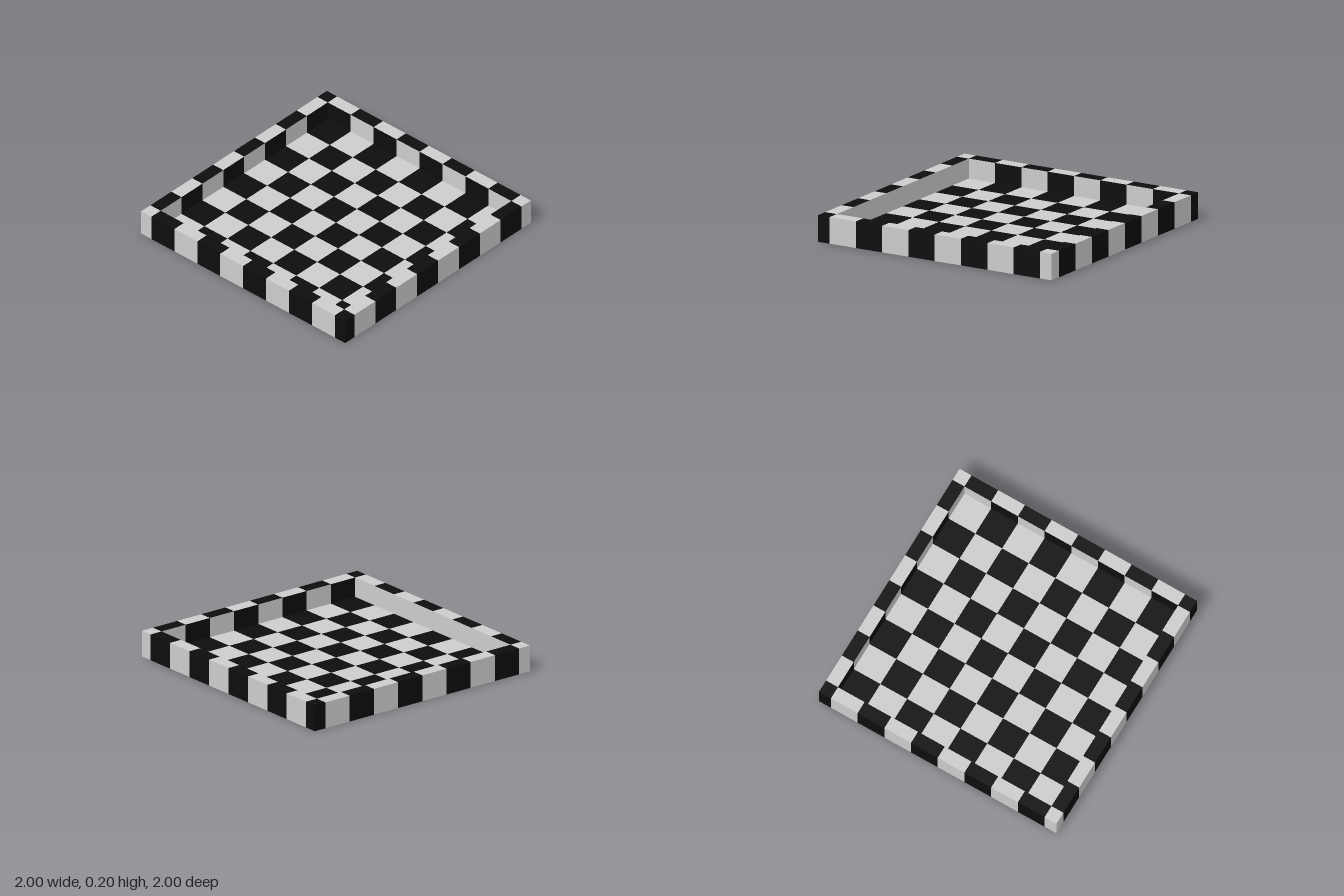
import * as THREE from 'three';

const HEIGHT = 0.2, FLOOR = 0.05, INNER = 0.9;

// Checker lines: narrow border cells, eight equal cells between them
const lines = [-1];
for (let k = 0; k <= 8; k++) lines.push(-INNER + k * 0.225);
lines.push(1);

const pale = new THREE.MeshStandardMaterial({ color: 0xcccccc });
pale.name = 'pale grey';
const dark = new THREE.MeshStandardMaterial({ color: 0x0d0d0d });
dark.name = 'black';

// Builds one checkered surface from cells { u0, u1, v0, v1, black }.
// place(u, v) gives the point; flip turns the face over.
function surface(name, cells, place, flip) {
  const sorted = [...cells.filter(c => !c.black), ...cells.filter(c => c.black)];
  const paleCount = cells.filter(c => !c.black).length;
  const points = [];
  for (const { u0, u1, v0, v1 } of sorted) {
    const a = place(u0, v0), b = place(u1, v0), c = place(u1, v1), d = place(u0, v1);
    const corners = flip ? [a, c, b, a, d, c] : [a, b, c, a, c, d];
    points.push(...corners.flat());
  }
  const geometry = new THREE.BufferGeometry();
  geometry.setAttribute('position', new THREE.Float32BufferAttribute(points, 3));
  geometry.computeVertexNormals();
  geometry.addGroup(0, paleCount * 6, 0);
  geometry.addGroup(paleCount * 6, (cells.length - paleCount) * 6, 1);
  const mesh = new THREE.Mesh(geometry, [pale, dark]);
  mesh.name = name;
  return mesh;
}

// Horizontal checker cells that pass the filter
function board(keep) {
  const cells = [];
  for (let i = 0; i < 10; i++) {
    for (let j = 0; j < 10; j++) {
      if (!keep(i, j)) continue;
      cells.push({ u0: lines[i], u1: lines[i + 1], v0: lines[j], v1: lines[j + 1], black: (i + j) % 2 === 0 });
    }
  }
  return cells;
}

// Vertical stripes from cell first to last; parity selects the black ones (-1 for none)
function stripes(first, last, bottom, parity) {
  const cells = [];
  for (let i = first; i <= last; i++) {
    cells.push({ u0: lines[i], u1: lines[i + 1], v0: bottom, v1: HEIGHT, black: i % 2 === parity });
  }
  return cells;
}

export function createModel() {
  const tray = new THREE.Group();
  tray.name = 'checkeredTray';
  const onRim = (i, j) => i === 0 || i === 9 || j === 0 || j === 9;
  const level = y => (u, v) => [u, y, v];
  const alongX = z => (u, v) => [u, v, z];
  const alongZ = x => (u, v) => [x, v, u];

  // Horizontal surfaces
  tray.add(
    surface('rimTop', board(onRim), level(HEIGHT), true),
    surface('floor', board((i, j) => !onRim(i, j)), level(FLOOR), true),
    surface('underside', board(() => true), level(0), false)
  );

  // Outer walls
  const outer = parity => stripes(0, 9, 0, parity);
  tray.add(
    surface('outerFrontWall', outer(1), alongX(1), false),
    surface('outerBackWall', outer(0), alongX(-1), true),
    surface('outerLeftWall', outer(1), alongZ(1), true),
    surface('outerRightWall', outer(0), alongZ(-1), false)
  );

  // Inner walls, the front one plain
  const inner = parity => stripes(1, 8, FLOOR, parity);
  tray.add(
    surface('innerFrontWall', inner(-1), alongX(INNER), true),
    surface('innerBackWall', inner(1), alongX(-INNER), false),
    surface('innerLeftWall', inner(0), alongZ(INNER), false),
    surface('innerRightWall', inner(1), alongZ(-INNER), true)
  );
  return tray;
}
